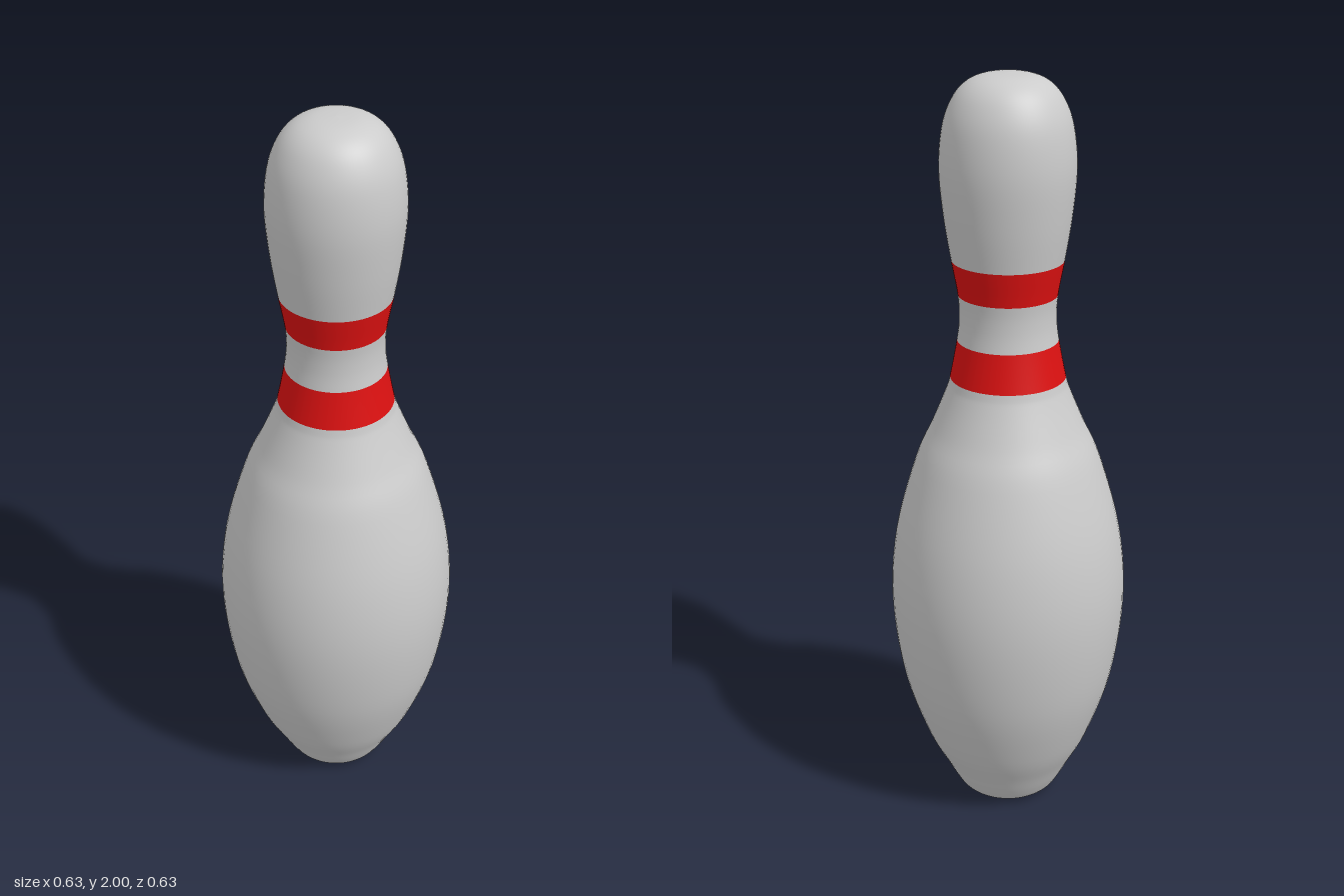
import * as THREE from 'three';

// Silhouette from base to crown, as [radius, height]
const profile = [
  [0, 0], [0.06, 0], [0.1, 0.003], [0.13, 0.018], [0.152, 0.05], [0.178, 0.1],
  [0.228, 0.2], [0.286, 0.38], [0.313, 0.6], [0.297, 0.8], [0.242, 1.0],
  [0.198, 1.1], [0.161, 1.19], [0.149, 1.23], [0.13, 1.33], [0.124, 1.39],
  [0.127, 1.45], [0.143, 1.54], [0.16, 1.65], [0.17, 1.77], [0.161, 1.87],
  [0.138, 1.935], [0.105, 1.975], [0.06, 1.995], [0, 2],
];

// Consecutive sections of the silhouette: name, height at which each ends, colour
const sections = [
  ['body', 1.23, 0xcccccc],
  ['lowerStripe', 1.33, 0xdd1111],
  ['neck', 1.45, 0xcccccc],
  ['upperStripe', 1.54, 0xdd1111],
  ['head', 2, 0xcccccc],
];

const STEPS = 5; // samples between profile points
const SIDES = 64;

export function createModel() {
  const group = new THREE.Group();
  group.name = 'pin';
  const curve = new THREE.SplineCurve(profile.map(([r, y]) => new THREE.Vector2(r, y)));
  const points = curve.getPoints((profile.length - 1) * STEPS);
  points.forEach((p) => p.set(Math.max(p.x, 0), THREE.MathUtils.clamp(p.y, 0, 2)));

  // Each section is a lathe that shares its rim with the next one
  let start = 0;
  for (const [name, top, color] of sections) {
    const end = profile.findIndex(([, y]) => y === top) * STEPS;
    const geometry = new THREE.LatheGeometry(points.slice(start, end + 1), SIDES);
    const mesh = new THREE.Mesh(geometry, new THREE.MeshStandardMaterial({ color }));
    mesh.name = name;
    group.add(mesh);
    start = end;
  }
  return group;
}
